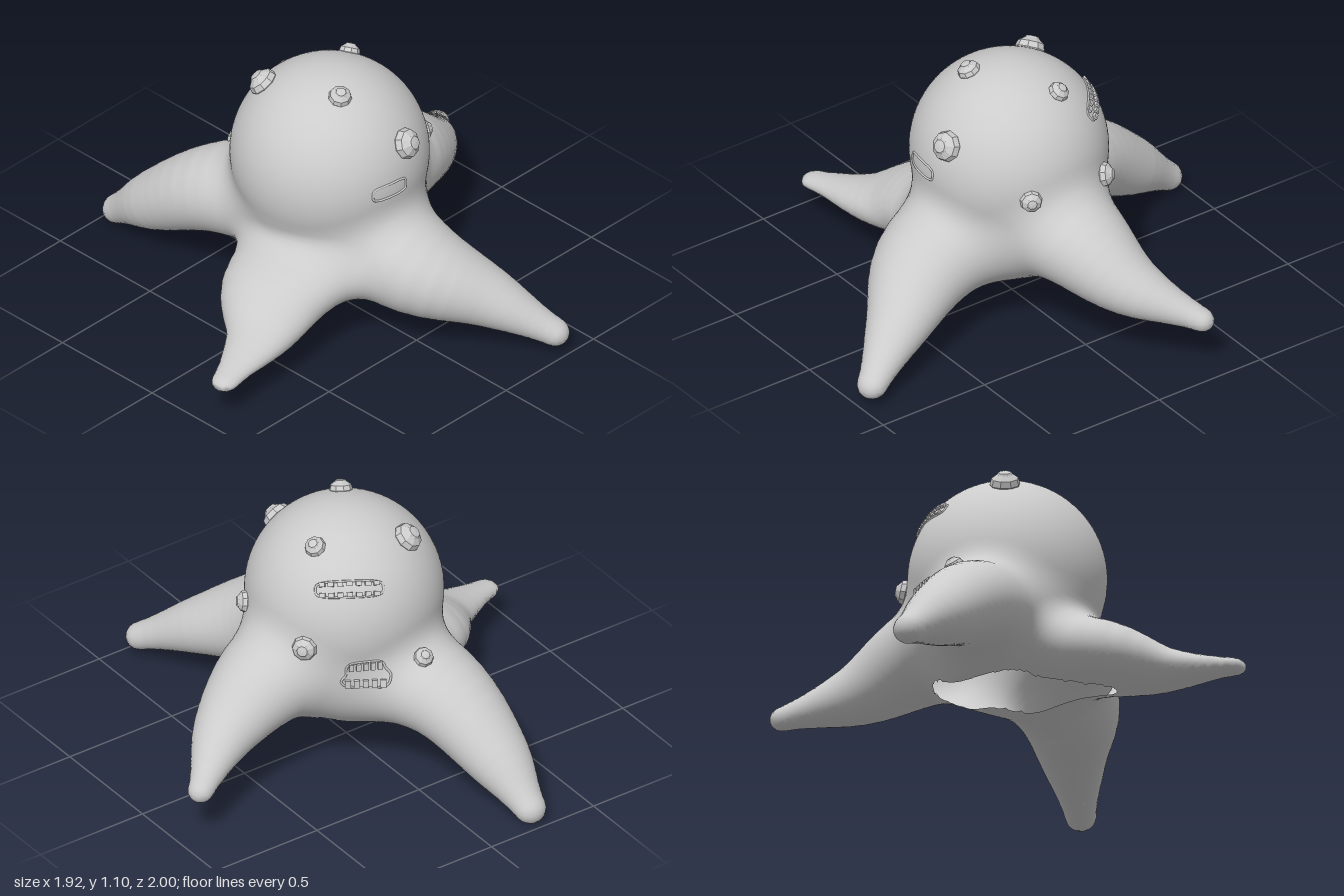
import * as THREE from 'three';

const material = new THREE.MeshStandardMaterial({ color: 0xcccccc });
const skinMaterial = new THREE.MeshStandardMaterial({ color: 0xcccccc, side: THREE.DoubleSide });
const facetedMaterial = new THREE.MeshStandardMaterial({ color: 0xcccccc, flatShading: true });

// Legs: axis points with radius [x, y, z, r], root to tip, and a vertical squash
const SEGMENTS = 15;
const LEGS = [
  { squash: 0.9, path: [[0.1, 0.47, 0, 0.27], [0.4, 0.445, -0.025, 0.21], [0.65, 0.335, -0.095, 0.136], [0.91, 0.228, -0.275, 0.052]] },
  { squash: 0.87, path: [[0, 0.42, 0.15, 0.26], [0.04, 0.325, 0.45, 0.215], [0.195, 0.215, 0.7, 0.133], [0.34, 0.085, 0.938, 0.062]] },
  { squash: 0.87, path: [[-0.05, 0.43, -0.15, 0.25], [-0.165, 0.365, -0.45, 0.196], [-0.22, 0.205, -0.72, 0.138], [-0.235, 0.06, -0.933, 0.067]] },
  { squash: 0.58, path: [[-0.15, 0.34, 0.1, 0.28], [-0.4, 0.275, 0.12, 0.23], [-0.62, 0.203, 0.228, 0.133], [-0.905, 0.163, 0.315, 0.055]] },
].map(({ squash, path }) => {
  const curve = new THREE.CatmullRomCurve3(path.map(([x, y, z]) => new THREE.Vector3(x, y, z)));
  const radii = new THREE.SplineCurve(path.map((p, i) => new THREE.Vector2(i, p[3])));
  const points = [];
  for (let i = 0; i <= SEGMENTS; i++)
    points.push([...curve.getPoint(i / SEGMENTS).toArray(), radii.getPoint(i / SEGMENTS).y]);
  return { squash, points };
});

// Distance to a tapered rod with round ends, leaning the foot point along the taper
function rod(x, y, z, a, b, s) {
  const px = x - a[0], py = y - a[1], pz = z - a[2];
  const bx = b[0] - a[0], by = b[1] - a[1], bz = b[2] - a[2];
  const length = Math.sqrt(bx * bx + by * by + bz * bz), taper = (a[3] - b[3]) / length;
  const along = (px * bx + py * by + pz * bz) / (length * length);
  const ax = px - bx * along, ay = (py - by * along) / s, az = pz - bz * along;
  const away = Math.sqrt(ax * ax + ay * ay + az * az);
  const lean = away * taper / Math.sqrt(1 - taper * taper) / length;
  const h = Math.max(0, Math.min(1, along - lean)), rest = (along - h) * length;
  return Math.sqrt(away * away + rest * rest) - a[3] - (b[3] - a[3]) * h;
}

function smoothMin(a, b, k) {
  const h = Math.max(k - Math.abs(a - b), 0) / k;
  return Math.min(a, b) - h * h * k * 0.25;
}

const DOME = [0, 0.69, 0.015, 0.4], BELLY = [0, 0.47, 0, 0.34];

// Body field: dome blended with the legs, cut flat underneath
function field(x, y, z) {
  let d = rod(x, y, z, DOME, BELLY, 1);
  for (const { squash, points } of LEGS) {
    let leg = Infinity;
    for (let i = 0; i < SEGMENTS; i++) leg = Math.min(leg, rod(x, y, z, points[i], points[i + 1], squash));
    d = smoothMin(d, leg, 0.11);
  }
  const under = Math.max(y - (0.17 + 0.12 * x - 0.08 * z), Math.hypot(x, z) - 0.42);
  return -smoothMin(-d, under, 0.01);
}

// Opening in the underside, as a plan-view distance (negative inside)
function opening(x, z) {
  const front = rod(x, 0, z, [0.18, 0, -0.06, 0.11], [-0.06, 0, -0.06, 0.14], 1);
  const rear = rod(x, 0, z, [-0.06, 0, 0.02, 0.15], [-0.4, 0, 0.13, 0.05], 1);
  return smoothMin(front, rear, 0.05);
}

function gradient(p, e = 0.004) {
  return new THREE.Vector3(
    field(p.x + e, p.y, p.z) - field(p.x - e, p.y, p.z),
    field(p.x, p.y + e, p.z) - field(p.x, p.y - e, p.z),
    field(p.x, p.y, p.z + e) - field(p.x, p.y, p.z - e)).divideScalar(2 * e);
}

// Moves a point onto the skin
function snap(p) {
  for (let i = 0; i < 4; i++) {
    const g = gradient(p);
    p.addScaledVector(g, -field(p.x, p.y, p.z) / Math.max(g.lengthSq(), 0.2));
  }
  return p;
}

// Skins the field: one vertex per crossed cell, one quad per crossed grid edge
function skinGeometry() {
  const step = 0.022, n = [96, 54, 96], origin = [-1.05, -0.04, -1.05];
  const stride = [1, n[0], n[0] * n[1]], total = n[0] * n[1] * n[2];
  const values = new Float32Array(total), cell = new Int32Array(total).fill(-1);
  const each = (margin, fn) => {
    for (let k = margin; k < n[2] - margin; k++)
      for (let j = margin; j < n[1] - margin; j++)
        for (let i = margin; i < n[0] - margin; i++) fn(i, j, k, i + j * stride[1] + k * stride[2]);
  };
  each(0, (i, j, k, id) => {
    values[id] = field(origin[0] + i * step, origin[1] + j * step, origin[2] + k * step);
  });
  const positions = [], normals = [], index = [], open = [];
  each(1, (i, j, k, id) => {
    let inside = 0;
    for (let c = 0; c < 8; c++)
      if (values[id + (c & 1) + ((c >> 1) & 1) * stride[1] + (c >> 2) * stride[2]] < 0) inside++;
    if (inside === 0 || inside === 8) return;
    const p = snap(new THREE.Vector3(i + 0.5, j + 0.5, k + 0.5).multiplyScalar(step)
      .add(new THREE.Vector3(...origin)));
    // Vertices beside the opening slide onto its rim
    const rim = p.y < 0.26 ? opening(p.x, p.z) : 1;
    if (Math.abs(rim) < step * 0.55) {
      const e = 0.002, gx = opening(p.x + e, p.z) - rim, gz = opening(p.x, p.z + e) - rim;
      p.x -= rim * gx / e;
      p.z -= rim * gz / e;
    }
    open.push(rim < step * 0.55);
    cell[id] = positions.length / 3;
    positions.push(p.x, p.y, p.z);
    normals.push(...gradient(p, 0.01).normalize().toArray());
  });
  each(1, (i, j, k, id) => {
    for (let a = 0; a < 3; a++) {
      const inside = values[id] < 0;
      if (inside === values[id + stride[a]] < 0) continue;
      const b = stride[(a + 1) % 3], c = stride[(a + 2) % 3];
      const q = [cell[id - b - c], cell[id - c], cell[id], cell[id - b]];
      if (q.every((v) => open[v])) continue;
      if (!inside) q.reverse();
      index.push(q[0], q[1], q[2], q[0], q[2], q[3]);
    }
  });
  const g = new THREE.BufferGeometry();
  g.setAttribute('position', new THREE.Float32BufferAttribute(positions, 3));
  g.setAttribute('normal', new THREE.Float32BufferAttribute(normals, 3));
  g.setIndex(index);
  return g;
}

// Faceted knob standing on the skin
function knob(x, y, z, r) {
  const profile = [[0.75, -0.5], [1, 0], [0.88, 0.4], [0.5, 0.68], [0.42, 0.8], [0, 0.85]]
    .map(([a, b]) => new THREE.Vector2(a * r, b * r));
  const mesh = new THREE.Mesh(new THREE.LatheGeometry(profile, 9), facetedMaterial);
  mesh.name = 'eyeKnob';
  mesh.position.copy(snap(new THREE.Vector3(x, y, z)));
  mesh.quaternion.setFromUnitVectors(new THREE.Vector3(0, 1, 0), gradient(mesh.position).normalize());
  return mesh;
}

// Mouth: a lip that hugs the skin, with optional rows of teeth
function mouth(name, center, w, h, topScale, teeth) {
  const group = new THREE.Group();
  group.name = name;
  const c = snap(new THREE.Vector3(...center));
  const out = gradient(c).normalize();
  const side = new THREE.Vector3(0, 1, 0).cross(out).normalize();
  const up = out.clone().cross(side);
  const at = (u, v) => snap(c.clone().addScaledVector(side, u).addScaledVector(up, v));
  const outline = [];
  for (let i = 0; i < 28; i++) {
    const t = (i / 28) * Math.PI * 2;
    const round = (f) => Math.sign(f) * Math.pow(Math.abs(f), 0.5);
    const v = round(Math.sin(t));
    outline.push(at(round(Math.cos(t)) * w / 2 * (v > 0 ? topScale : 1), v * h / 2));
  }
  const lip = new THREE.Mesh(new THREE.TubeGeometry(
    new THREE.CatmullRomCurve3(outline, true), 56, 0.005, 6, true), material);
  lip.name = 'lip';
  group.add(lip);
  for (const row of [-1, 1])
    for (let i = 0; i < teeth; i++) {
      const width = w * (row > 0 ? topScale : 1) * 0.9;
      const tooth = new THREE.Mesh(new THREE.BoxGeometry(width / teeth * 0.65, h * 0.28, 0.024), facetedMaterial);
      tooth.name = 'tooth';
      tooth.position.copy(at(((i + 0.5) / teeth - 0.5) * width, row * h * 0.33));
      const n = gradient(tooth.position).normalize();
      const s = up.clone().cross(n).normalize();
      tooth.quaternion.setFromRotationMatrix(new THREE.Matrix4().makeBasis(s, n.clone().cross(s), n));
      group.add(tooth);
    }
  return group;
}

export function createModel() {
  const model = new THREE.Group();
  model.name = 'fourLeggedCreature';
  const body = new THREE.Mesh(skinGeometry(), skinMaterial);
  body.name = 'bodyAndLegs';
  model.add(body);

  const knobs = [
    [-0.08, 1.05, 0.15, 0.048], [0.19, 0.99, -0.07, 0.044], [-0.16, 1.0, -0.21, 0.062], [0.07, 0.86, 0.37, 0.064],
    [0.36, 0.68, 0.17, 0.046], [0.37, 0.66, -0.22, 0.052], [-0.07, 0.59, -0.45, 0.042],
  ];
  for (const k of knobs) model.add(knob(...k));

  model.add(mouth('frontMouth', [-0.055, 0.713, 0.41], 0.17, 0.06, 1, 0));
  model.add(mouth('upperBackMouth', [0.17, 0.9, -0.26], 0.29, 0.065, 1, 7));
  model.add(mouth('lowerBackMouth', [0.16, 0.53, -0.36], 0.2, 0.12, 0.8, 5));
  return model;
}
